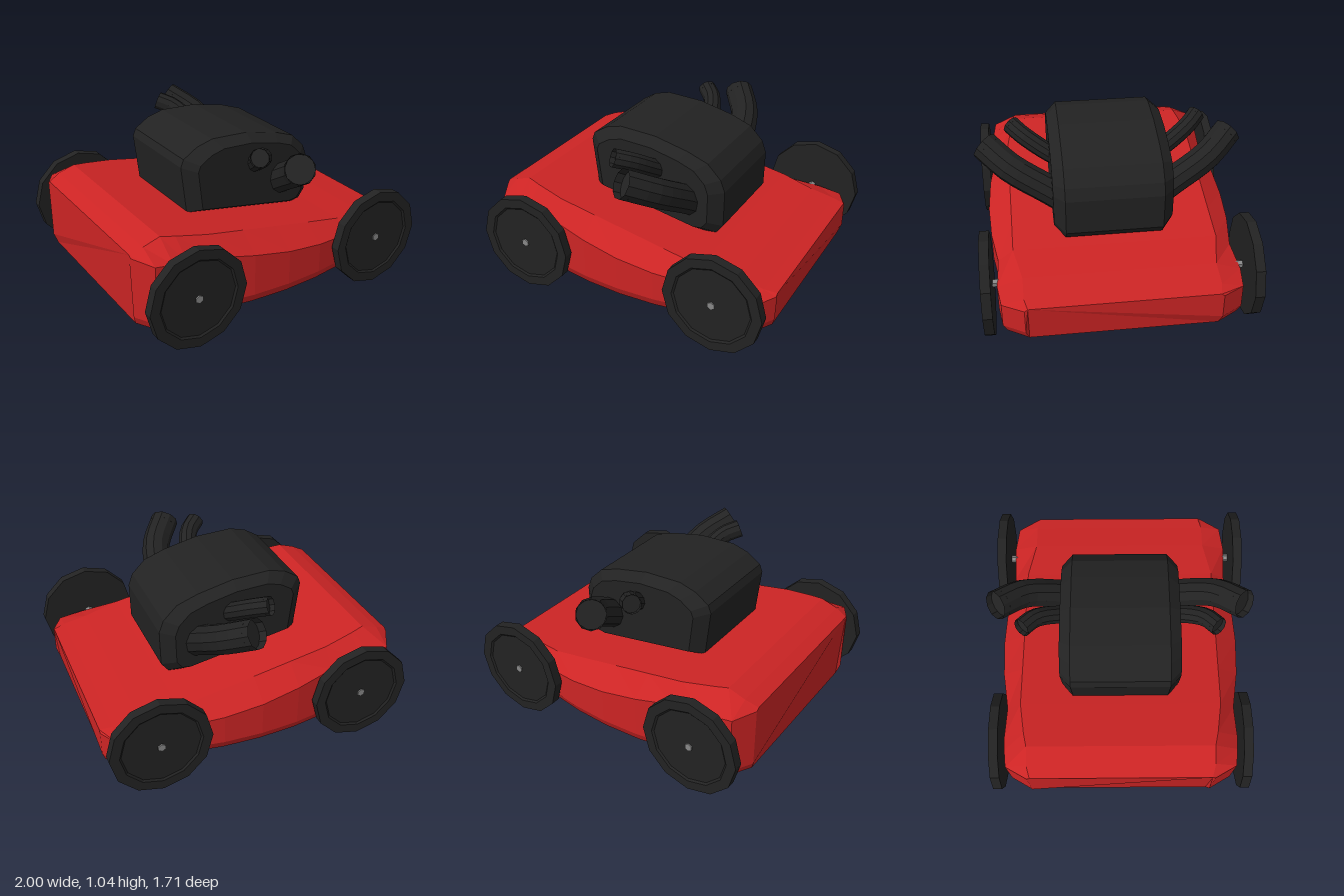
import * as THREE from 'three';

const paint = (color, side = THREE.FrontSide) =>
  new THREE.MeshStandardMaterial({ color, flatShading: true, side });
const red = paint(0xcc2424);
const black = paint(0x222222);
const pipeBlack = paint(0x222222, THREE.DoubleSide);
const grey = paint(0x888888);

function mesh(name, geometry, material) {
  const m = new THREE.Mesh(geometry, material);
  m.name = name;
  return m;
}

// Skin a row of equal-sized rings and close both ends with fans
function loft(rings) {
  const n = rings[0].length, last = (rings.length - 1) * n, index = [];
  for (let i = 0; i < rings.length - 1; i++) {
    for (let j = 0; j < n; j++) {
      const k = (j + 1) % n;
      const a = i * n + j, b = i * n + k, c = b + n, d = a + n;
      index.push(a, b, c, a, c, d);
    }
  }
  for (let j = 1; j < n - 1; j++) {
    index.push(0, j + 1, j, last, last + j, last + j + 1);
  }
  const g = new THREE.BufferGeometry();
  g.setAttribute('position', new THREE.Float32BufferAttribute(rings.flat(2), 3));
  g.setIndex(index);
  const flat = g.toNonIndexed();
  flat.computeVertexNormals();
  return flat;
}

// Deck: cross-sections along x [x, ridge z, ridge y, edge z, edge y]
function deck() {
  const sections = [
    [-0.98, 0.58, 0.59, 0.6, 0.575],
    [-0.9, 0.6, 0.625, 0.74, 0.56],
    [-0.79, 0.6, 0.66, 0.752, 0.55],
    [-0.7, 0.62, 0.645, 0.757, 0.535],
    [-0.5, 0.65, 0.61, 0.747, 0.5],
    [-0.25, 0.65, 0.565, 0.787, 0.455],
    [0, 0.65, 0.52, 0.8, 0.41],
    [0.25, 0.65, 0.475, 0.787, 0.378],
    [0.5, 0.65, 0.432, 0.747, 0.355],
    [0.74, 0.6, 0.4, 0.757, 0.345],
    [0.9, 0.6, 0.372, 0.735, 0.34],
    [0.98, 0.58, 0.36, 0.6, 0.345],
  ];
  const rings = sections.map(([x, rz, ry, ez, ey]) => {
    const half = [[x, ry, rz], [x, ey, ez], [x, 0.18, ez], [x * 0.98, 0.12, ez * 0.965]];
    const mirrored = half.map(([a, b, c]) => [a, b, -c]).reverse();
    return [...half, ...mirrored];
  });
  return mesh('deck', loft(rings), red);
}

// Engine cover: side profile carried across z with chamfered ends
function engineCover() {
  const profile = [
    [-0.44, 0.59], [0.37, 0.45], [0.44, 0.46], [0.485, 0.52], [0.49, 0.76],
    [0.46, 0.84], [0.37, 0.93], [0.23, 0.98], [0, 1.03], [-0.25, 1.04],
    [-0.36, 1.01], [-0.455, 0.95], [-0.475, 0.9],
  ];
  const cx = 0.01, cy = 0.745;
  const rings = [[-0.38, 0.83], [-0.31, 1], [0.31, 1], [0.38, 0.83]].map(([z, s]) =>
    profile.map(([x, y]) => [cx + (x - cx) * s, cy + (y - cy) * s, z]));
  return mesh('engineCover', loft(rings), black);
}

// Exhaust: bent open pipe with a recessed stopper
function exhaust(name, path, radius, side) {
  const group = new THREE.Group();
  group.name = name;
  const curve = new THREE.CatmullRomCurve3(
    path.map(([x, y, z]) => new THREE.Vector3(x, y, z * side)));
  group.add(mesh('pipe', new THREE.TubeGeometry(curve, 9, radius, 10), pipeBlack));
  const inner = mesh('pipeMouth', new THREE.CircleGeometry(radius * 0.98, 10), pipeBlack);
  inner.position.copy(curve.getPointAt(0.93));
  inner.lookAt(inner.position.clone().add(curve.getTangentAt(0.93)));
  group.add(inner);
  return group;
}

// Wheel: twelve-sided disc with a shallow recess, outer face on +z
function wheel(name) {
  const group = new THREE.Group();
  group.name = name;
  const profile = [
    [0, -0.03], [0.325, -0.03], [0.325, 0.03], [0.262, 0.03], [0.25, 0.02], [0, 0.02],
  ].map(([r, y]) => new THREE.Vector2(r, y));
  group.add(mesh('tyre', new THREE.LatheGeometry(profile, 12).rotateX(Math.PI / 2), black));
  const bolt = mesh('axleBolt',
    new THREE.CylinderGeometry(0.026, 0.026, 0.05, 6).rotateX(Math.PI / 2), grey);
  bolt.position.z = 0.003;
  group.add(bolt);
  return group;
}

export function createModel() {
  const model = new THREE.Group();
  model.name = 'lawnMower';
  model.add(deck(), engineCover());

  // Two exhausts on each side
  const large = [[0.265, 0.62, 0.28], [0.24, 0.7, 0.4], [0.18, 0.84, 0.63], [0.055, 0.945, 0.79]];
  const small = [[0.045, 0.8, 0.3], [0.025, 0.86, 0.4], [-0.035, 0.95, 0.54], [-0.115, 0.99, 0.615]];
  for (const side of [1, -1]) {
    const label = side > 0 ? 'Front' : 'Back';
    model.add(exhaust('largeExhaust' + label, large, 0.095, side));
    model.add(exhaust('smallExhaust' + label, small, 0.06, side));
  }

  // Axles and wheels
  for (const x of [-0.675, 0.675]) {
    const label = x > 0 ? 'Left' : 'Right';
    const axle = mesh('axle' + label,
      new THREE.CylinderGeometry(0.026, 0.026, 1.6, 6).rotateX(Math.PI / 2), grey);
    axle.position.set(x, 0.327, 0);
    model.add(axle);
    for (const side of [1, -1]) {
      const w = wheel((side > 0 ? 'front' : 'back') + label + 'Wheel');
      w.position.set(x, 0.327, 0.815 * side);
      w.rotation.y = side > 0 ? 0 : Math.PI;
      model.add(w);
    }
  }
  return model;
}
